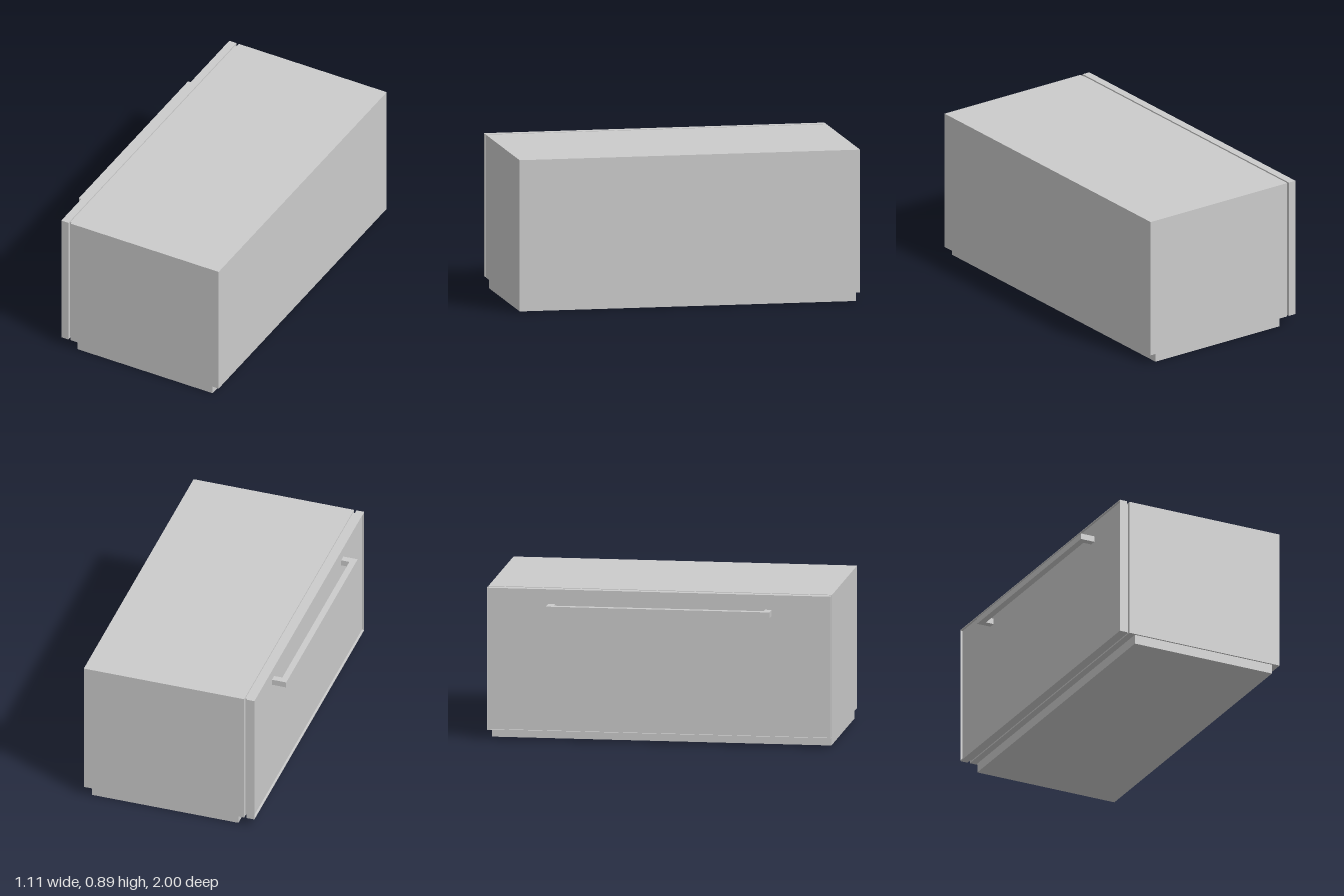
import * as THREE from 'three';

const material = new THREE.MeshStandardMaterial({ color: 0xcccccc, flatShading: true });

// Box given by its minimum and maximum corners
function block(name, [x0, y0, z0], [x1, y1, z1]) {
  const mesh = new THREE.Mesh(new THREE.BoxGeometry(x1 - x0, y1 - y0, z1 - z0), material);
  mesh.name = name;
  mesh.position.set((x0 + x1) / 2, (y0 + y1) / 2, (z0 + z1) / 2);
  return mesh;
}

export function createModel() {
  const model = new THREE.Group();
  model.name = 'drawerCabinet';
  const bottom = 0.056, top = 0.888;

  // Carcass on a recessed plinth
  model.add(block('plinth', [-0.378, 0, -0.985], [0.51, bottom, 0.99]));
  model.add(block('cabinetBody', [-0.418, bottom, -1], [0.555, top, 1]));

  // Narrow seal between the body and the door
  model.add(block('seal', [-0.433, bottom + 0.008, -0.98], [-0.418, top - 0.008, 0.98]));

  // Door panel surrounded by a thin raised rim
  const door = new THREE.Group();
  door.name = 'door';
  const face = -0.48, recess = -0.468, back = -0.433, rim = 0.005;
  door.add(block('doorPanel', [recess, bottom + rim, -1 + rim], [back, top - rim, 1 - rim]));
  door.add(block('doorRimBottom', [face, bottom, -1], [back, bottom + rim, 1]));
  door.add(block('doorRimTop', [face, top - rim, -1], [back, top, 1]));
  for (const z of [-1, 1 - rim]) {
    door.add(block('doorRimSide', [face, bottom + rim, z], [back, top - rim, z + rim]));
  }
  model.add(door);

  // Square bar handle with two posts
  const handle = new THREE.Group();
  handle.name = 'handle';
  const y0 = 0.765, y1 = 0.8, z0 = -0.645, z1 = 0.656, post = 0.04;
  handle.add(block('handleBar', [-0.555, y0, z0], [-0.518, y1, z1]));
  for (const z of [z0, z1 - post]) {
    handle.add(block('handlePost', [-0.518, y0, z], [recess, y1, z + post]));
  }
  model.add(handle);

  return model;
}
